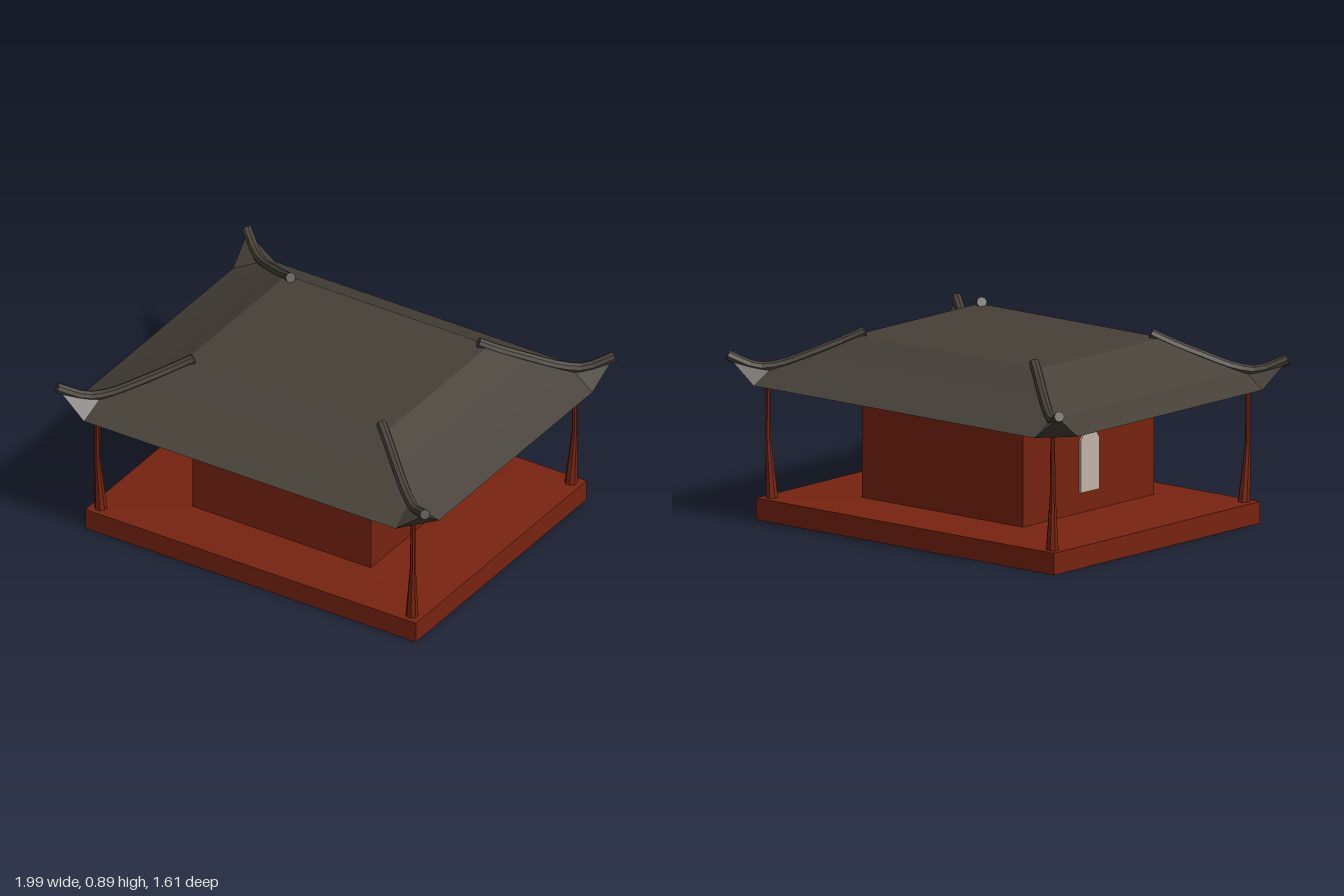
import * as THREE from 'three';

const red = new THREE.MeshStandardMaterial({ name: 'redWood', color: 0x782310, side: THREE.DoubleSide, flatShading: true });
const dark = new THREE.MeshStandardMaterial({ name: 'darkTile', color: 0x464038, side: THREE.DoubleSide, flatShading: true });
const pale = new THREE.MeshStandardMaterial({ name: 'paleWindow', color: 0xc3b3a8 });

// Flat-shaded surface from convex polygons (arrays of points)
function polyMesh(name, polys, material) {
  const pos = [];
  for (const p of polys) {
    for (let i = 1; i < p.length - 1; i++) pos.push(...p[0], ...p[i], ...p[i + 1]);
  }
  const g = new THREE.BufferGeometry();
  g.setAttribute('position', new THREE.Float32BufferAttribute(pos, 3));
  g.computeVertexNormals();
  const m = new THREE.Mesh(g, material);
  m.name = name;
  return m;
}

// Rectangular ring of four corners, counter-clockwise seen from above
const ring = (x, z, y) => [[x, y, z], [x, y, -z], [-x, y, -z], [-x, y, z]];

// Quads joining a lower ring to an upper ring
function band(a, b) {
  return a.map((p, i) => {
    const j = (i + 1) % a.length;
    return [p, a[j], b[j], b[i]];
  });
}

const corners = [[1, 1], [1, -1], [-1, -1], [-1, 1]];

function makeRoof() {
  const top = ring(0.54, 0.433, 0.85);
  const upper = ring(0.68, 0.55, 0.77);
  const lower = ring(0.82, 0.67, 0.70);
  const polys = [top, ...band(upper, top), ...band(lower, upper)];

  // Eave points at each corner: A on front/back edge, B on side edge, T tip, I soffit
  const A = [], B = [], T = [], I = [];
  for (const [sx, sz] of corners) {
    A.push([sx * 0.83, 0.635, sz > 0 ? 0.80 : -0.785]);
    B.push([sx * 0.958, 0.635, sz * 0.635]);
    T.push([sx * 0.975, 0.745, sz * 0.785]);
    I.push([sx * 0.83, sz > 0 ? 0.61 : 0.632, sz * 0.66]);
  }
  // Eave slopes with sloping soffit edges
  polys.push([B[0], B[1], lower[1], lower[0]], [B[2], B[3], lower[3], lower[2]]);
  polys.push([A[1], A[2], lower[2], lower[1]], [A[3], A[0], lower[0], lower[3]]);
  polys.push([B[1], B[0], I[0], I[1]], [B[3], B[2], I[2], I[3]]);
  polys.push([A[2], A[1], I[1], I[2]], [A[0], A[3], I[3], I[0]]);
  polys.push([I[3], I[2], I[1], I[0]]);

  // Upturned corners
  corners.forEach(([sx, sz], i) => {
    const flip = sx * sz < 0;
    const tris = [
      [lower[i], A[i], T[i]], [lower[i], T[i], B[i]],
      [T[i], A[i], B[i]], [A[i], I[i], B[i]],
    ];
    tris.forEach((t) => polys.push(flip ? t.reverse() : t));
  });
  return polyMesh('roof', polys, dark);
}

// Hip ridge that sweeps down and curls up at the tip
function makeRidge(sx, sz) {
  const pts = [
    [0.50, 0.402, 0.868], [0.57, 0.457, 0.826], [0.68, 0.55, 0.767],
    [0.79, 0.64, 0.715], [0.875, 0.705, 0.703], [0.98, 0.787, 0.755],
  ].map(([x, z, y]) => new THREE.Vector3(sx * x, y, sz * z));
  const group = new THREE.Group();
  group.name = 'hipRidge';
  const curve = new THREE.CatmullRomCurve3(pts);
  const tube = new THREE.Mesh(new THREE.TubeGeometry(curve, 12, 0.024, 8), dark);
  tube.name = 'ridgeTube';
  group.add(tube);
  for (const t of [0, 1]) {
    const cap = new THREE.Mesh(new THREE.CircleGeometry(0.024, 8), dark);
    cap.name = 'ridgeCap';
    cap.position.copy(curve.getPoint(t));
    const dir = curve.getTangent(t).multiplyScalar(t ? 1 : -1);
    cap.quaternion.setFromUnitVectors(new THREE.Vector3(0, 0, 1), dir);
    group.add(cap);
  }
  return group;
}

// Slim post: flared foot, nearly straight on its outer side
function makePost(sx, sz) {
  const sections = [
    [0.10, 0.828, 0.659, 0.029], [0.37, 0.841, 0.671, 0.013], [0.64, 0.841, 0.671, 0.011],
  ].map(([y, x, z, r]) => Array.from({ length: 8 }, (_, i) => {
    const a = -(i + 0.5) * Math.PI / 4;
    return [sx * x + r * Math.cos(a), y, sz * z + r * Math.sin(a)];
  }));
  return polyMesh('post', [...band(sections[0], sections[1]), ...band(sections[1], sections[2])], red);
}

// Thin pointed window plate on a side wall
function makeWindow(side) {
  const s = new THREE.Shape([
    [-0.064, 0.21], [0.064, 0.21], [0.064, 0.45], [0.022, 0.507], [-0.022, 0.507], [-0.064, 0.45],
  ].map(([x, y]) => new THREE.Vector2(x, y)));
  const g = new THREE.ExtrudeGeometry(s, { depth: 0.009, bevelEnabled: false });
  const m = new THREE.Mesh(g, pale);
  m.name = 'window';
  m.rotation.y = side * Math.PI / 2;
  m.position.x = side * 0.476;
  return m;
}

export function createModel() {
  const model = new THREE.Group();
  model.name = 'pavilion';

  // Hollow platform with a gently sloping deck, and open-ended walls
  const foot = ring(0.88, 0.708, 0), edge = ring(0.88, 0.708, 0.10);
  const sill = ring(0.475, 0.45, 0.118), head = ring(0.475, 0.45, 0.63);
  model.add(polyMesh('platform', [...band(foot, edge), ...band(edge, sill)], red));
  model.add(polyMesh('walls', band(sill, head), red));

  model.add(makeRoof());
  for (const [sx, sz] of corners) model.add(makeRidge(sx, sz), makePost(sx, sz));
  for (const side of [1, -1]) model.add(makeWindow(side));
  return model;
}
